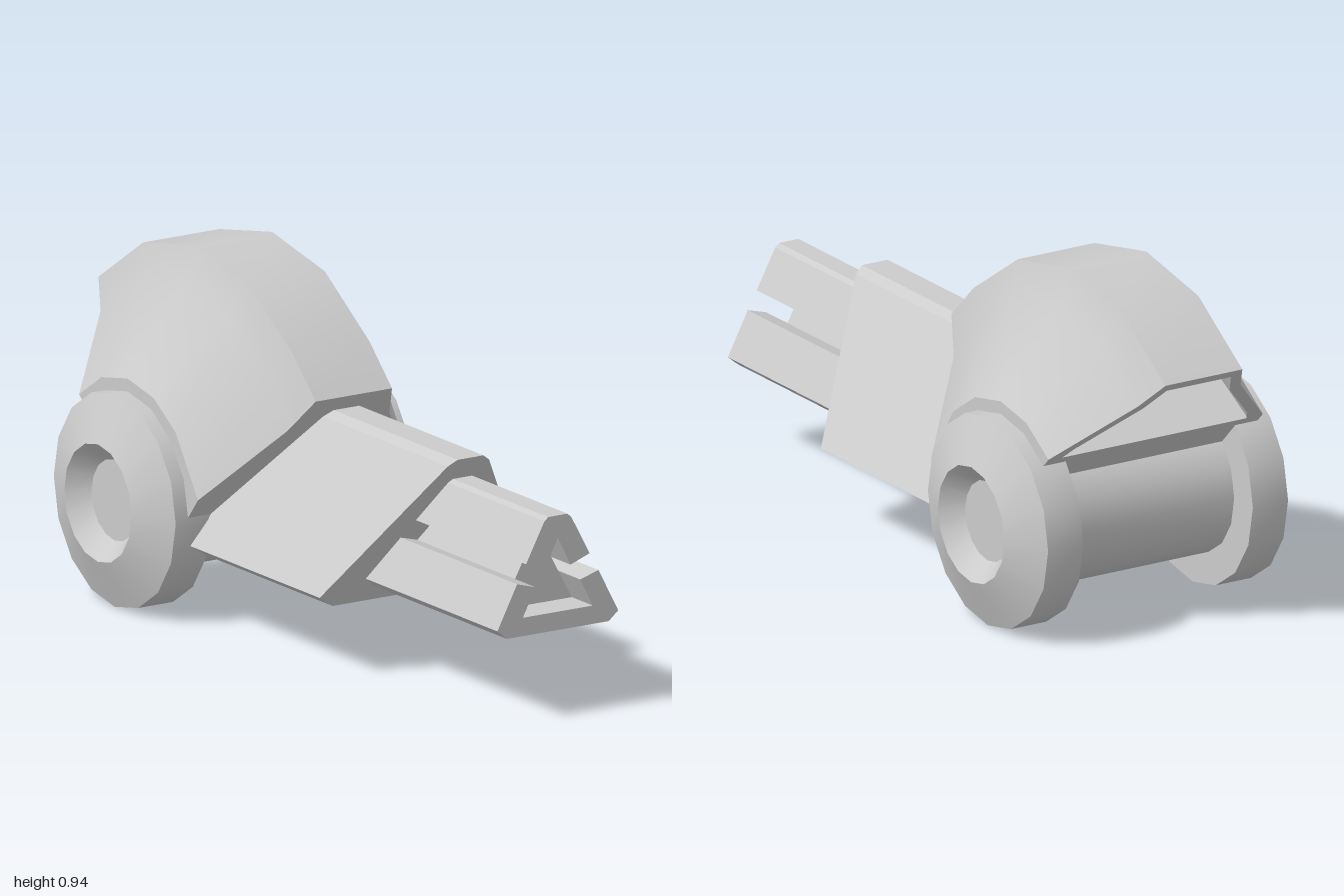
import * as THREE from 'three';
import { toCreasedNormals } from 'three/addons/utils/BufferGeometryUtils.js';

const AXLE_Y = 0.295, AXLE_Z = -0.54;
const material = new THREE.MeshStandardMaterial({ color: 0xcccccc });

function makeMesh(name, geometry, crease = 0.5) {
  const mesh = new THREE.Mesh(toCreasedNormals(geometry, crease), material);
  mesh.name = name;
  return mesh;
}

// Right half of an outline, followed by its mirror image.
const mirrored = (half) => [...half, ...half.map(([x, y]) => [-x, y]).reverse()];

// Straight bar with a constant outline along z.
function bar(outline, back, front) {
  const shape = new THREE.Shape(outline.map(([x, y]) => new THREE.Vector2(x, y)));
  const geometry = new THREE.ExtrudeGeometry(shape, { depth: front - back, bevelEnabled: false });
  return geometry.translate(0, 0, back);
}

// Closed skin through symmetric loops, capped at both ends.
function loft(loops) {
  const n = loops[0].length, last = (loops.length - 1) * n, index = [];
  for (let s = 0; s < loops.length - 1; s++) {
    for (let i = 0; i < n; i++) {
      const j = (i + 1) % n, a = s * n, b = a + n;
      index.push(a + i, b + i, a + j, b + i, b + j, a + j);
    }
  }
  for (let i = 0; i < n / 2 - 1; i++) {
    const [a, b, c, d] = [i, i + 1, n - 2 - i, n - 1 - i];
    index.push(a, b, c, a, c, d);
    index.push(last + d, last + c, last + b, last + d, last + b, last + a);
  }
  const geometry = new THREE.BufferGeometry();
  geometry.setAttribute('position', new THREE.Float32BufferAttribute(loops.flat(2), 3));
  geometry.setIndex(index);
  return geometry;
}

// Hood: a fan-shaped cover swept around the axle, with a pocket in its rear face.
function createHood() {
  const section = (profile, degrees) => {
    const t = THREE.MathUtils.degToRad(degrees);
    return mirrored(profile).map(([x, r]) => [x, AXLE_Y + r * Math.sin(t), AXLE_Z + r * Math.cos(t)]);
  };
  const outer = [[0.335, 0.19], [0.335, 0.325], [0.16, 0.555], [0.12, 0.655]];
  const pocket = [[0.29, 0.32], [0.27, 0.36], [0.135, 0.535], [0.1, 0.62]];
  const front = mirrored([[0.335, 0.3], [0.335, 0.365], [0.16, 0.565], [0.12, 0.655]])
    .map(([x, y]) => [x, y, 0.03 - (0.655 - y) * 0.81]);
  const loops = [front];
  for (let a = 45; a <= 135; a += 22.5) loops.push(section(outer, a));
  loops.push(section(pocket, 135), section(pocket, 103));
  return makeMesh('hood', loft(loops));
}

// Body: tapered prism with a raked front face.
function createBody() {
  const outline = mirrored([[0.265, 0.19], [0.32, 0.225], [0.065, 0.595], [0.04, 0.612]]);
  const geometry = bar(outline, -0.5, 0.585);
  const p = geometry.attributes.position;
  for (let i = 0; i < p.count; i++) {
    if (p.getZ(i) > 0) p.setZ(i, 0.585 - (0.612 - p.getY(i)) * 0.604);
  }
  return makeMesh('body', geometry, 0.3);
}

// Wheel: chamfered disc with a dished hub, facing +x.
function createWheel(name) {
  const profile = [[0, 0.265], [0.29, 0.265], [0.29, 0.375], [0.16, 0.428], [0.11, 0.375], [0, 0.375]];
  const geometry = new THREE.LatheGeometry(profile.map(([r, x]) => new THREE.Vector2(r, x)), 16);
  return makeMesh(name, geometry.rotateZ(-Math.PI / 2));
}

export function createModel() {
  const model = new THREE.Group();
  model.name = 'model';
  model.add(createHood(), createBody());

  // Split barrel: two rails around a slightly shorter triangular core.
  const upper = mirrored([[0.04, 0.41], [0.1, 0.432], [0.042, 0.54], [0.03, 0.55]]);
  upper.push([0, 0.49]);
  const lower = mirrored([[0.16, 0.238], [0.19, 0.263], [0.128, 0.382], [0.07, 0.365], [0.11, 0.288]]);
  const core = [[-0.11, 0.288], [0.11, 0.288], [0, 0.49]];
  model.add(
    makeMesh('upperRail', bar(upper, 0.2, 1), 0.3),
    makeMesh('lowerRail', bar(lower, 0.2, 1), 0.3),
    makeMesh('barrelCore', bar(core, 0.2, 0.9), 0.3),
  );

  // Wheels and the axle drum between them.
  const wheelSet = new THREE.Group();
  wheelSet.name = 'wheelSet';
  wheelSet.position.set(0, AXLE_Y, AXLE_Z);
  const rightWheel = createWheel('rightWheel');
  rightWheel.rotation.y = Math.PI;
  const drum = new THREE.CylinderGeometry(0.2, 0.2, 0.56, 16).rotateZ(Math.PI / 2);
  wheelSet.add(createWheel('leftWheel'), rightWheel, makeMesh('axle', drum));
  model.add(wheelSet);
  return model;
}
